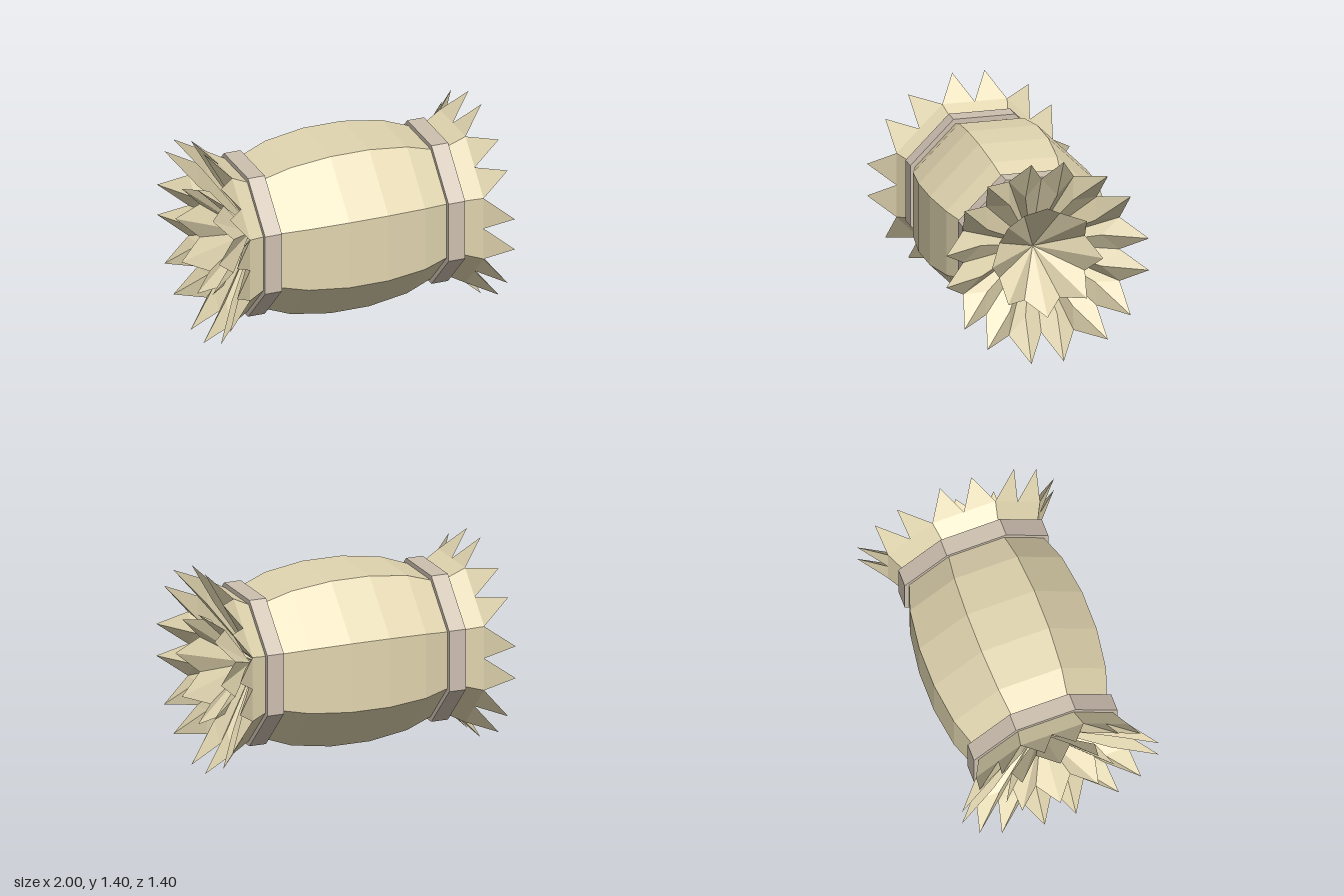
import * as THREE from 'three';

const CENTER_Y = 0.7;
const STEP = Math.PI / 8;

// Point at distance r from the long axis, angle a measured from straight up
const polar = (x, r, a) => [x, r * Math.cos(a), r * Math.sin(a)];

function fromTriangles(triangles) {
  const geometry = new THREE.BufferGeometry();
  geometry.setAttribute('position', new THREE.Float32BufferAttribute(triangles.flat(2), 3));
  geometry.computeVertexNormals();
  return geometry;
}

// Eight-sided tube along x with flats on top; profile is [x, distance to flat]
function octagonTube(profile) {
  const points = profile.map(([x, flat]) => new THREE.Vector2(flat / Math.cos(STEP), x));
  return new THREE.LatheGeometry(points, 8, STEP).rotateZ(Math.PI / 2);
}

// Ring of sixteen spikes that folds inward to a deep centre
function outerFrill() {
  const triangles = [];
  const valley = (k) => polar(0.84, k % 2 ? 0.54 / Math.cos(STEP) : 0.54, k * STEP);
  const beside = (k, offset) => (k % 2 ? (k + 1) * STEP - offset : k * STEP + offset);
  const center = [0.58, 0, 0];
  for (let k = 0; k < 16; k++) {
    const v0 = valley(k), v1 = valley(k + 1);
    const tip = polar(1, 0.708, beside(k, 0.158));
    const ridge = polar(0.84, 0.43, beside(k, 0.257));
    triangles.push([v0, v1, tip], [ridge, v0, tip], [ridge, tip, v1],
      [center, v0, ridge], [center, ridge, v1]);
  }
  return fromTriangles(triangles);
}

// Eight-pointed star funnel nested inside the outer frill
function innerFrill() {
  const triangles = [];
  const rim = (k) => (k % 2 ? polar(0.86, 0.32, k * STEP) : polar(1, 0.383, k * STEP));
  for (let k = 0; k < 16; k++) triangles.push([[0.62, 0, 0], rim(k), rim(k + 1)]);
  return fromTriangles(triangles);
}

export function createModel() {
  const model = new THREE.Group();
  model.name = 'tiedBundle';
  const wrap = new THREE.MeshStandardMaterial({ color: 0xe2d6b0, flatShading: true, side: THREE.DoubleSide });
  const tie = new THREE.MeshStandardMaterial({ color: 0xcdc0b0, flatShading: true });

  const add = (parent, name, geometry, material) => {
    const mesh = new THREE.Mesh(geometry, material);
    mesh.name = name;
    parent.add(mesh);
  };

  // Bulging body, pinched under the bands and flared at both ends
  const half = [[0.14, 0.578], [0.42, 0.54], [0.6, 0.478], [0.72, 0.478], [0.84, 0.54]];
  const mirrored = half.map(([x, r]) => [-x, r]).reverse();
  add(model, 'body', octagonTube([...mirrored, ...half]), wrap);

  // Band and frills at each end
  const band = octagonTube([[-0.06, 0.47], [-0.06, 0.51], [0.06, 0.51], [0.06, 0.47]]).translate(0.66, 0, 0);
  const outer = outerFrill();
  const inner = innerFrill();
  for (const [name, turn] of [['leftEnd', 0], ['rightEnd', Math.PI]]) {
    const end = new THREE.Group();
    end.name = name;
    end.rotation.y = turn;
    add(end, 'band', band, tie);
    add(end, 'outerFrill', outer, wrap);
    add(end, 'innerFrill', inner, wrap);
    model.add(end);
  }

  model.position.y = CENTER_Y;
  const root = new THREE.Group();
  root.add(model);
  return root;
}
